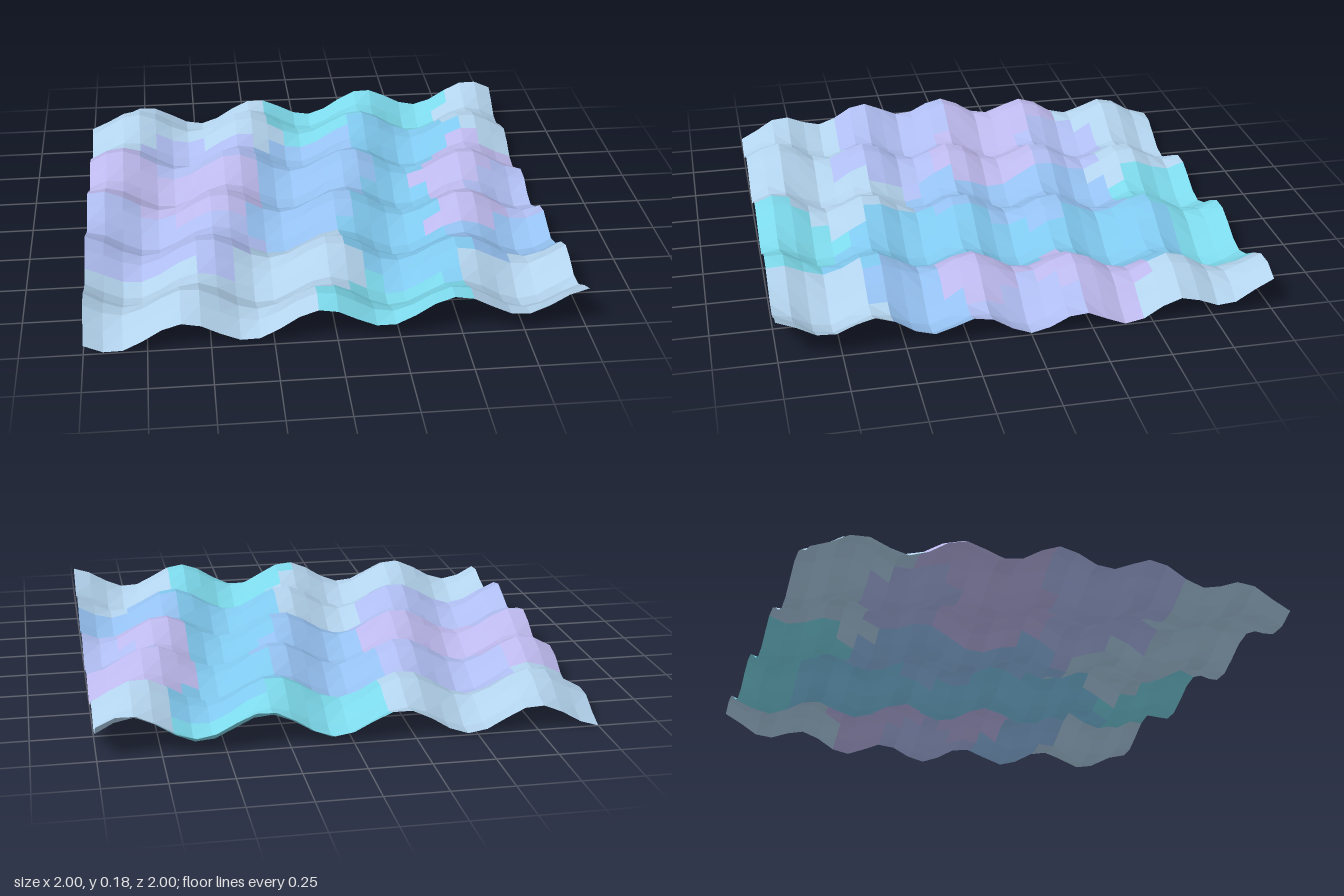
import * as THREE from 'three';

const SEGMENTS = 26;

// Rolling swell: two wave trains crossing at nearly a right angle
function waveHeight(x, z) {
  const across = Math.sin(11.6 * x + 2.4 * z);
  const along = Math.sin(15.5 * z - 1.55 * x);
  return 0.105 + 0.053 * across + 0.038 * along;
}

// Tints of the surface, each with the spots (x, z) it spreads from
const TINTS = [
  { name: 'lavenderWater', color: 0xbcb8ec, spots: [[-0.5, -0.1], [-0.85, -0.2], [0.7, -0.3], [0.68, 0.15]] },
  { name: 'periwinkleWater', color: 0xaebcf0, spots: [[-0.6, 0.35], [-0.5, -0.5], [0.92, 0], [-0.95, 0.2]] },
  { name: 'blueWater', color: 0x94c0f0, spots: [[0, 0], [0.05, -0.35], [0.75, 0.4]] },
  { name: 'skyWater', color: 0x80c8ee, spots: [[0.45, -0.45], [0.35, 0.1], [0.35, 0.5], [0.55, -0.65]] },
  { name: 'cyanWater', color: 0x7cd8ea, spots: [[0.1, -0.9], [0.5, -0.9], [0.25, 0.85]] },
  { name: 'paleWater', color: 0xb2d2ec, spots: [[-0.8, -0.85], [-0.4, -0.8], [-0.7, 0.75], [-0.1, 0.6], [0.85, -0.75], [0.8, 0.75]] },
];

// Index of the tint whose spot lies nearest
function tintAt(x, z) {
  let best = 0;
  let nearest = Infinity;
  TINTS.forEach((tint, i) => {
    for (const [sx, sz] of tint.spots) {
      const d = Math.hypot(x - sx, z - sz);
      if (d < nearest) {
        nearest = d;
        best = i;
      }
    }
  });
  return best;
}

export function createModel() {
  const group = new THREE.Group();
  group.name = 'waterSurface';

  // Faceted sheet displaced by the swell
  const sheet = new THREE.PlaneGeometry(2, 2, SEGMENTS, SEGMENTS).rotateX(-Math.PI / 2);
  const pos = sheet.attributes.position;
  for (let i = 0; i < pos.count; i++) {
    pos.setY(i, waveHeight(pos.getX(i), pos.getZ(i)));
  }

  // Sort the triangles, cell by cell, into one patch per tint
  const facets = sheet.toNonIndexed().attributes.position;
  const patches = TINTS.map(() => []);
  for (let cell = 0; cell < SEGMENTS * SEGMENTS; cell++) {
    const x = -1 + (2 * ((cell % SEGMENTS) + 0.5)) / SEGMENTS;
    const z = -1 + (2 * (Math.floor(cell / SEGMENTS) + 0.5)) / SEGMENTS;
    const patch = patches[tintAt(x, z)];
    for (let v = cell * 6; v < cell * 6 + 6; v++) {
      patch.push(facets.getX(v), facets.getY(v), facets.getZ(v));
    }
  }

  TINTS.forEach(({ name, color }, i) => {
    const geometry = new THREE.BufferGeometry();
    geometry.setAttribute('position', new THREE.Float32BufferAttribute(patches[i], 3));
    geometry.computeVertexNormals();
    const material = new THREE.MeshStandardMaterial({ color, flatShading: true, side: THREE.DoubleSide });
    const mesh = new THREE.Mesh(geometry, material);
    mesh.name = name;
    group.add(mesh);
  });

  return group;
}
